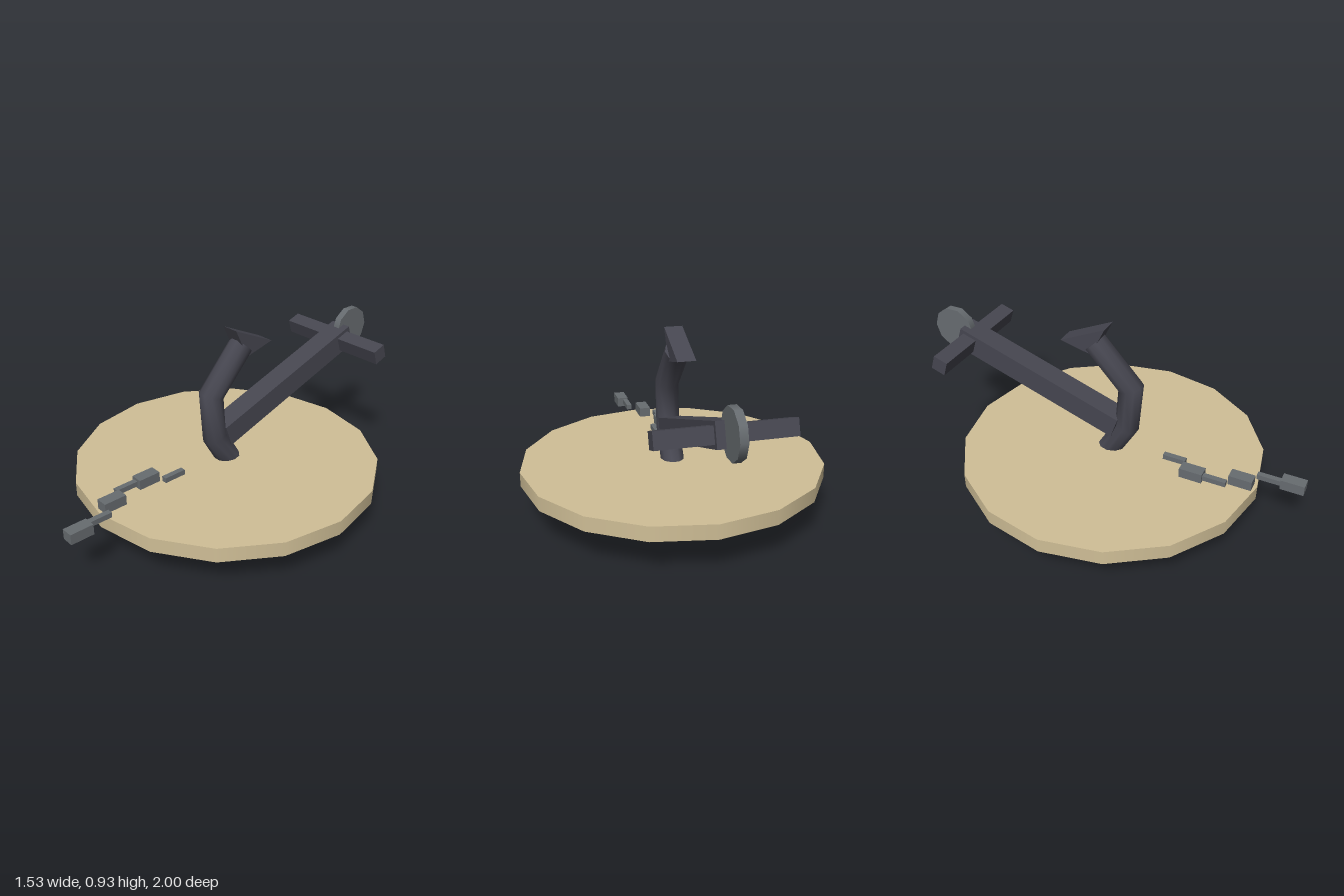
import * as THREE from 'three';

const sand = new THREE.MeshStandardMaterial({ name: 'sand', color: 0xd0bf97 });
const iron = new THREE.MeshStandardMaterial({ name: 'darkIron', color: 0x464650 });
const steel = new THREE.MeshStandardMaterial({ name: 'greySteel', color: 0x676c70 });

function add(parent, name, geometry, material, x, y, z, tilt = 0) {
  const mesh = new THREE.Mesh(geometry, material);
  mesh.name = name;
  mesh.position.set(x, y, z);
  mesh.rotation.x = tilt;
  parent.add(mesh);
}

// Mitred round bar along [z, y] points in the x = 0 plane, with closed ends
function bentBar(path, radius, sides) {
  const pts = path.map(([z, y]) => new THREE.Vector2(z, y));
  const last = pts.length - 1;
  const pos = [], index = [];
  const addRing = (i) => {
    const before = pts[i].clone().sub(pts[Math.max(i - 1, 0)]).normalize();
    const after = pts[Math.min(i + 1, last)].clone().sub(pts[i]).normalize();
    const t = before.clone().add(after).normalize();
    const miter = i > 0 && i < last ? 1 / t.dot(after) : 1;
    for (let j = 0; j < sides; j++) {
      const a = (j / sides) * Math.PI * 2;
      const n = Math.sin(a) * radius * miter;
      pos.push(Math.cos(a) * radius, pts[i].y + t.x * n, pts[i].x - t.y * n);
    }
  };
  for (let i = 0; i <= last; i++) addRing(i);
  for (let i = 0; i < last; i++) {
    for (let j = 0; j < sides; j++) {
      const a = i * sides + j, b = i * sides + (j + 1) % sides;
      index.push(a, b, a + sides, b, b + sides, a + sides);
    }
  }
  // end caps on their own vertices, so the rims stay sharp
  for (const i of [0, last]) {
    const start = pos.length / 3;
    addRing(i);
    for (let j = 1; j < sides - 1; j++) {
      if (i === 0) index.push(start, start + j + 1, start + j);
      else index.push(start, start + j, start + j + 1);
    }
  }
  const g = new THREE.BufferGeometry();
  g.setAttribute('position', new THREE.Float32BufferAttribute(pos, 3));
  g.setIndex(index);
  g.computeVertexNormals();
  return g;
}

// Triangular wedge: flat base centred on the origin, ridge pointing up
function wedgeGeometry(width, height, length) {
  const shape = new THREE.Shape();
  shape.moveTo(-length / 2, 0);
  shape.lineTo(length / 2, 0);
  shape.lineTo(0, height);
  shape.closePath();
  return new THREE.ExtrudeGeometry(shape, { depth: width, bevelEnabled: false })
    .translate(0, 0, -width / 2).rotateY(Math.PI / 2);
}

export function createModel() {
  const model = new THREE.Group();
  model.name = 'anchorOnSand';

  // Sand disc
  add(model, 'sandDisc', new THREE.CylinderGeometry(0.765, 0.765, 0.073, 16), sand, 0, 0.213, 0.022);

  // Anchor
  const anchor = new THREE.Group();
  anchor.name = 'anchor';
  model.add(anchor);
  const lean = 0.32;
  add(anchor, 'shank', new THREE.BoxGeometry(0.114, 0.114, 0.935), iron, 0, 0.541, -0.39, lean);
  add(anchor, 'stock', new THREE.BoxGeometry(0.61, 0.076, 0.076), iron, 0, 0.67, -0.777, lean);
  add(anchor, 'ring', new THREE.CylinderGeometry(0.113, 0.113, 0.036, 10).rotateZ(Math.PI / 2),
    steel, 0, 0.708, -0.885);

  const arms = bentBar([[-0.075, 0.83], [0.118, 0.623], [0.1, 0.392], [-0.025, 0.178], [-0.3, 0.109]], 0.06, 10);
  add(anchor, 'curvedArms', arms, iron, 0, 0, 0);

  // Flukes, ridges sunk into the arm ends
  const fluke = wedgeGeometry(0.09, 0.105, 0.26);
  add(anchor, 'upperFluke', fluke, iron, 0, 0.876, -0.12, Math.atan2(8, -17));
  add(anchor, 'lowerFluke', fluke, iron, 0, 0.112, -0.37, Math.atan2(16.4, 9.6));

  // Chain: alternating narrow and wide links
  const chain = new THREE.Group();
  chain.name = 'chain';
  model.add(chain);
  [0, -0.064, -0.069, -0.011, 0.057, 0.072].forEach((x, i) => {
    const [width, height] = i % 2 === 1 ? [0.06, 0.052] : [0.028, 0.026];
    add(chain, 'chainLink' + (i + 1), new THREE.BoxGeometry(width, height, 0.116),
      steel, x, i === 5 ? 0.269 : 0.274, 0.362 + i * 0.116);
  });

  return model;
}
